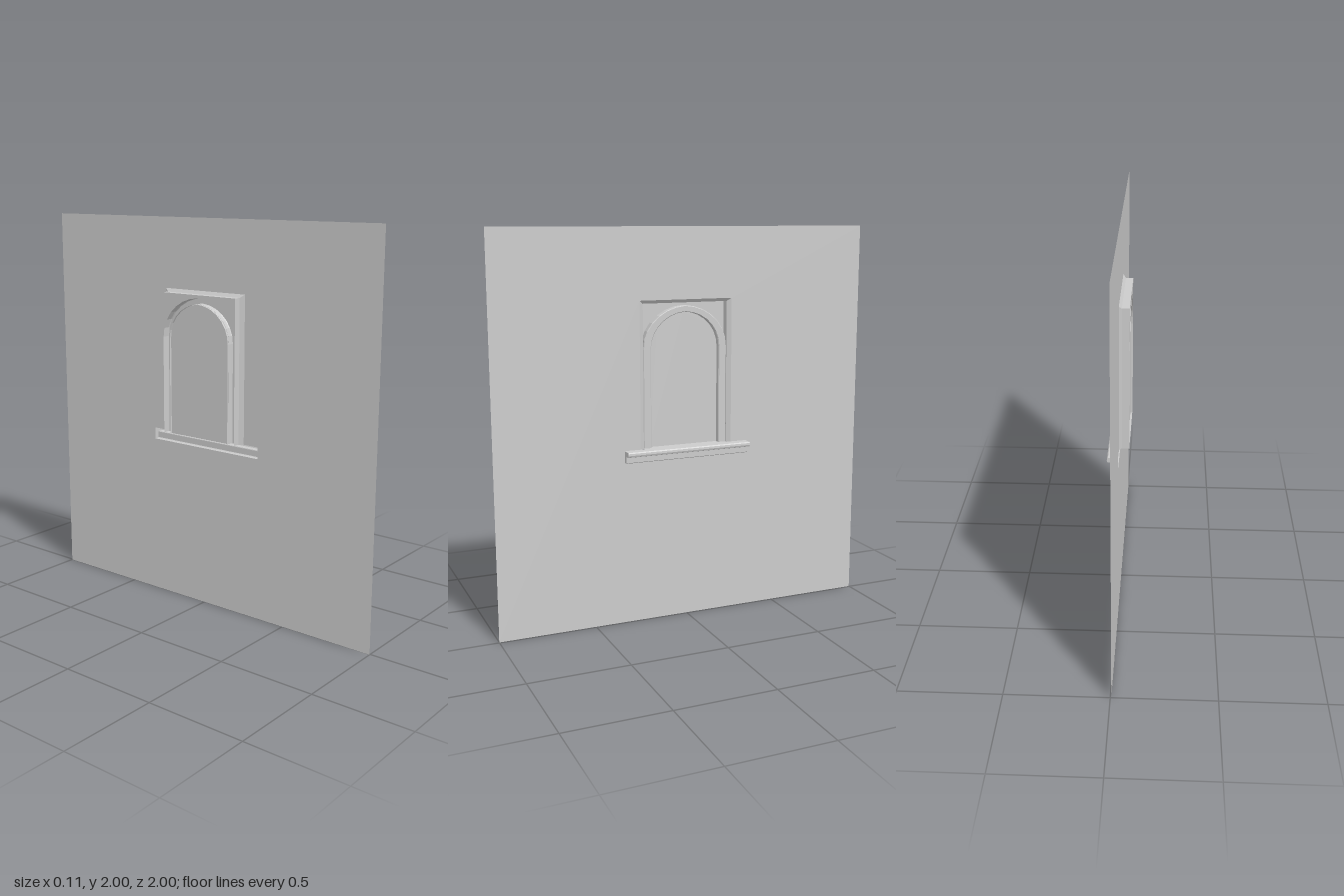
import * as THREE from 'three';

const material = new THREE.MeshStandardMaterial({ color: 0xcccccc, side: THREE.DoubleSide, flatShading: true });

const WALL_X = -0.005, FRONT_X = -0.018, BACK_X = -0.055;
const SILL_Y = 0.9, SPRING_Y = 1.4, SILL_HALF = 0.335;

// Faceted surface through rows of [x, y, z] points
function loft(rows) {
  const pos = [];
  for (let i = 0; i < rows.length - 1; i++) {
    for (let j = 0; j < rows[i].length - 1; j++) {
      const a = rows[i][j], b = rows[i][j + 1], c = rows[i + 1][j + 1], d = rows[i + 1][j];
      pos.push(...a, ...b, ...c, ...a, ...c, ...d);
    }
  }
  const g = new THREE.BufferGeometry();
  g.setAttribute('position', new THREE.Float32BufferAttribute(pos, 3));
  g.computeVertexNormals();
  return g;
}

// Flat sheet in the z-y plane at a given x
function sheet(points, x, hole) {
  const toV = ([z, y]) => new THREE.Vector2(z, y);
  const shape = new THREE.Shape(points.map(toV));
  if (hole) shape.holes.push(new THREE.Path(hole.map(toV)));
  return new THREE.ShapeGeometry(shape).rotateY(-Math.PI / 2).translate(x, 0, 0);
}

// Slightly pointed arch, from +z springing over to -z springing
function archCurve(w) {
  const h = 1.612 - (0.227 - w) * 0.76 - SPRING_Y;
  const n = 14, pts = [];
  for (let i = 0; i <= n; i++) {
    const t = (Math.PI * i) / n;
    const k = Math.min(t, Math.PI - t);
    const rise = 0.93 * Math.sin(t) + 0.07 * k / (Math.PI / 2);
    pts.push([w * Math.cos(t), SPRING_Y + h * rise]);
  }
  return pts;
}
const archPath = (w) => [[w, SILL_Y], ...archCurve(w), [-w, SILL_Y]];

export function createModel() {
  const model = new THREE.Group();
  const add = (name, geometry) => {
    const mesh = new THREE.Mesh(geometry, material);
    mesh.name = name;
    model.add(mesh);
  };

  // Wall with an opening for the window and the sill below it
  add('wall', sheet(
    [[-1, 0], [1, 0], [1, 2], [-1, 2]], WALL_X,
    [[-SILL_HALF, 0.84], [-SILL_HALF, SILL_Y], [-0.25, SILL_Y], [-0.25, 1.643], [0.25, 1.643],
      [0.25, SILL_Y], [SILL_HALF, SILL_Y], [SILL_HALF, 0.84]]));

  // Bevelled rectangular surround running back into the wall
  const surround = [[0.25, 1.643, WALL_X], [0.228, 1.627, FRONT_X], [0.228, 1.627, BACK_X]];
  add('surround', loft(surround.map(([w, top, x]) =>
    [[x, SILL_Y, w], [x, top, w], [x, top, -w], [x, SILL_Y, -w]])));

  // Recessed panel filling the corners above the arch
  add('cornerPanel', sheet(
    [[0.228, SPRING_Y], [0.228, 1.627], [-0.228, 1.627], [-0.228, SPRING_Y],
      ...archCurve(0.227).reverse()], BACK_X));

  // Arched frame with small chamfers on its front edges
  const frame = [[0.227, BACK_X], [0.227, -0.022], [0.223, FRONT_X],
    [0.189, FRONT_X], [0.185, -0.022], [0.185, BACK_X]];
  add('archFrame', loft(frame.map(([w, x]) => archPath(w).map(([z, y]) => [x, y, z]))));

  // Window pane and the ledge in front of it
  add('pane', sheet(archPath(0.186), -0.045));
  add('ledge', loft([BACK_X, WALL_X].map((x) => [[x, SILL_Y, 0.228], [x, SILL_Y, -0.228]])));

  // Stepped sill with a rounded nose, open at the back
  const sill = [[WALL_X, 0.9], [0.044, 0.9], [0.049, 0.895], [0.05, 0.885], [0.047, 0.877],
    [0.042, 0.875], [0.021, 0.875], [0.02, 0.872], [0.02, 0.843], [0.017, 0.84], [WALL_X, 0.84]];
  add('sill', loft(sill.map(([x, y]) => [[x, y, SILL_HALF], [x, y, -SILL_HALF]])));
  const endShape = new THREE.Shape(sill.map(([x, y]) => new THREE.Vector2(x, y)));
  for (const side of [1, -1]) {
    add(side > 0 ? 'sillEndFront' : 'sillEndBack',
      new THREE.ShapeGeometry(endShape).translate(0, 0, side * SILL_HALF));
  }

  return model;
}
